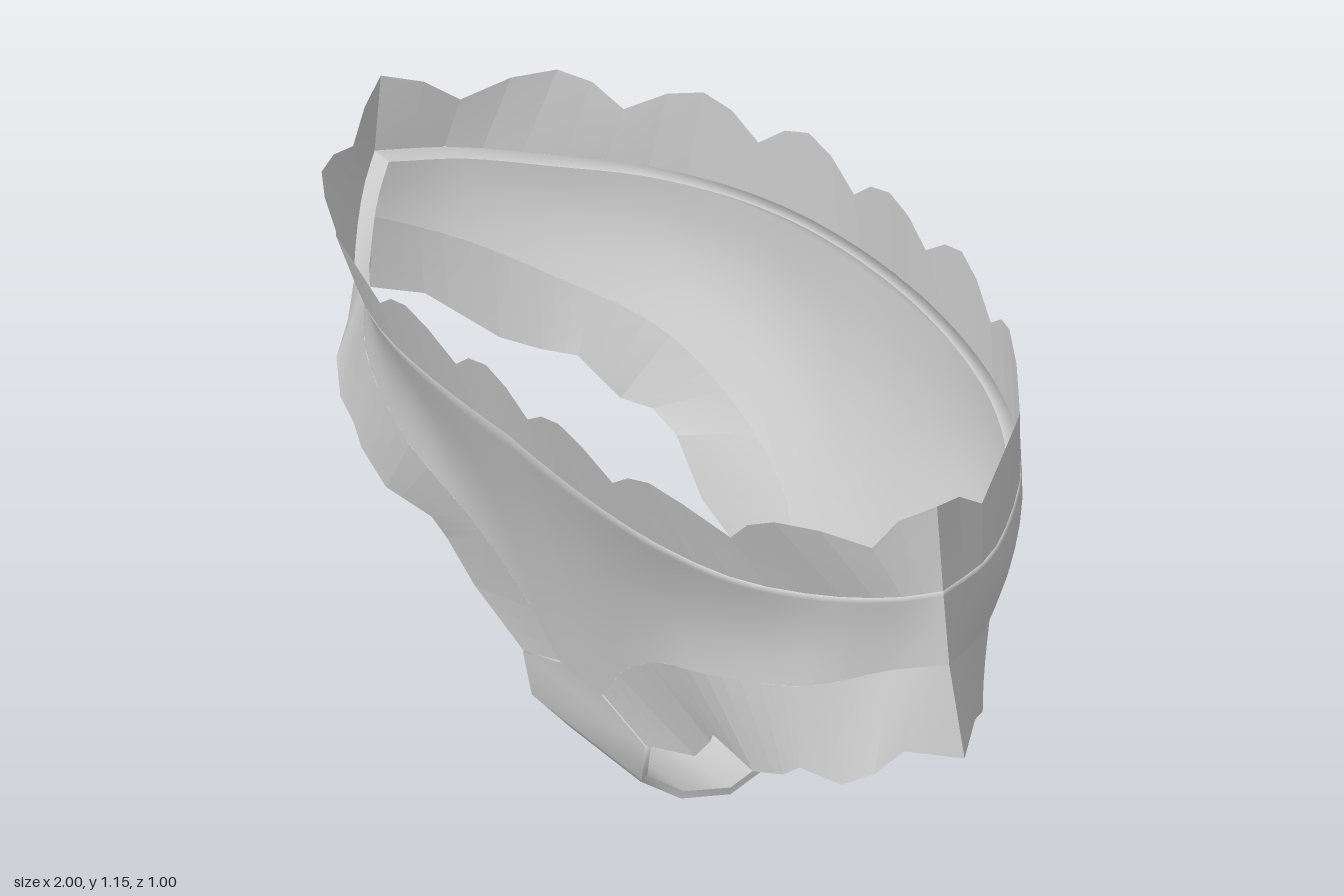
import * as THREE from 'three';

const V = (p) => new THREE.Vector3(p[0], p[1], p[2]);
const curve = (pts) => new THREE.CatmullRomCurve3(pts.map(V));
const flipX = (p) => new THREE.Vector3(-p.x, p.y, p.z);

// Surface through rows of points; rows run top to bottom, columns left to right seen from outside.
// A pleated surface keeps a crease along every column.
function grid(name, rows, flip, pleated) {
  const cols = pleated ? rows.map((r) => r.flatMap((p) => [p, p]).slice(1, -1)) : rows;
  const w = cols[0].length, pos = [], idx = [];
  cols.forEach((r) => r.forEach((p) => pos.push(p.x, p.y, p.z)));
  for (let i = 0; i < cols.length - 1; i++) {
    for (let j = 0; j < w - 1; j += pleated ? 2 : 1) {
      const a = i * w + j, b = a + 1, c = a + w, d = c + 1;
      if (flip) idx.push(a, b, c, b, d, c);
      else idx.push(a, c, b, b, c, d);
    }
  }
  const g = new THREE.BufferGeometry();
  g.setAttribute('position', new THREE.Float32BufferAttribute(pos, 3));
  g.setIndex(idx);
  g.computeVertexNormals();
  const mesh = new THREE.Mesh(g, new THREE.MeshStandardMaterial({ color: 0xcccccc, side: THREE.DoubleSide }));
  mesh.name = name;
  return mesh;
}

// Full row from -x to +x out of a function giving the +x half
function fullRow(n, f) {
  const half = Array.from({ length: n + 1 }, (_, i) => f(i / n));
  return [...half.slice(1).reverse().map(flipX), ...half];
}

// Rows blending from an upper to a lower edge
const blend = (upper, lower, n) => Array.from({ length: n + 1 }, (_, i) =>
  upper.map((p, j) => p.clone().lerp(lower[j], i / n)));

// Half curves from the centre line (x = 0) to the side seam
const front = {
  waist: curve([[0, .965, .44], [.12, .96, .44], [.28, .955, .435], [.45, .945, .41],
    [.62, .93, .345], [.76, .925, .24], [.87, .94, .14], [.93, .96, .07]]),
  leg: curve([[0, .30, .26], [.07, .31, .26], [.15, .41, .275], [.3, .53, .3],
    [.5, .62, .315], [.72, .69, .25], [.85, .755, .14], [.95, .795, .07]]),
  top: curve([[0, 1.15, .49], [.25, 1.155, .5], [.5, 1.14, .465], [.74, 1.13, .34], [.91, 1.15, .07]]),
  // lower frill edge: x, y, z and matching position along the leg seam
  frill: [[.2, .255, .25, .143], [.36, .32, .25, .27], [.43, .4, .265, .4], [.46, .44, .28, .44],
    [.6, .435, .287, .56], [.69, .475, .28, .65], [.73, .51, .27, .7], [.82, .505, .235, .78],
    [.88, .55, .2, .86], [.91, .6, .15, .92], [1, .6, .07, 1]],
  bulge: -.02,
};
const back = {
  waist: curve([[0, .955, -.5], [.12, .955, -.495], [.28, .95, -.475], [.45, .935, -.435],
    [.62, .925, -.35], [.76, .925, -.22], [.87, .94, -.08], [.93, .96, .07]]),
  leg: curve([[0, .30, -.32], [.08, .31, -.32], [.15, .4, -.35], [.3, .5, -.36],
    [.52, .6, -.325], [.72, .67, -.2], [.85, .74, -.07], [.95, .795, .07]]),
  top: curve([[0, 1.15, -.49], [.25, 1.155, -.48], [.5, 1.14, -.41], [.75, 1.125, -.24], [.91, 1.15, .07]]),
  frill: [[.2, .25, -.29, .143], [.33, .32, -.28, .27], [.42, .42, -.285, .4], [.5, .44, -.285, .47],
    [.57, .435, -.26, .56], [.65, .51, -.215, .66], [.72, .5, -.18, .73], [.79, .51, -.13, .8],
    [.9, .595, -.03, .92], [1, .6, .07, 1]],
  bulge: -.055,
};

// Main cloth panel between waist seam and leg seam, with a hem turned in at the waist
function panel(name, side, flip) {
  const hem = new THREE.Vector3(.955, .995, .955);
  const rows = [fullRow(28, (t) => side.waist.getPoint(t).multiply(hem))];
  for (let i = 0; i <= 14; i++) {
    const s = i / 14;
    rows.push(fullRow(28, (t) => {
      const p = side.waist.getPoint(t).lerp(side.leg.getPoint(t), s);
      p.z += side.bulge * Math.sin(Math.PI * s) * (1 - t * t);
      return p;
    }));
  }
  return grid(name, rows, flip, false);
}

// Scalloped frill flaring up from the waist seam
function waistFrill(name, side, flip) {
  const seam = fullRow(16, (t) => side.waist.getPoint(t));
  const edge = fullRow(16, (t) => side.top.getPoint(t)
    .lerp(side.waist.getPoint(t), .38 * (1 - Math.abs(Math.cos(4 * Math.PI * t)))));
  return grid(name, blend(edge, seam, 4), flip, true);
}

// Frill hanging from the leg seam, front to back around one leg
function legFrill(name, mirror) {
  const upper = [], lower = [], steps = 3;
  const add = (side, p, q, k) => {
    const m = p.map((v, i) => v + (q[i] - v) * k / steps);
    upper.push(side.leg.getPoint(m[3]));
    lower.push(V(m));
  };
  [[front, front.frill], [back, [...back.frill].reverse()]].forEach(([side, pts]) => {
    for (let i = 0; i < pts.length - 1; i++) {
      for (let k = 0; k < steps; k++) add(side, pts[i], pts[i + 1], k);
    }
  });
  add(back, back.frill[0], back.frill[0], 0);
  const rows = blend(upper, lower, 4).map((r) => (mirror ? r.map(flipX) : r));
  return grid(name, rows, mirror, true);
}

// Gusset strip with a little thickness: half width, y, z
function gusset() {
  const path = [[.07, .305, .26], [.2, .253, .252], [.18, .16, .245], [.115, .1, .2], [.14, .04, .12],
    [.14, 0, 0], [.14, .04, -.13], [.115, .1, -.21], [.18, .16, -.265], [.2, .25, -.29], [.07, .305, -.32]];
  const rows = path.map(([w, y, z]) => {
    const inward = new THREE.Vector3(0, .32 - y, -z).setLength(.016);
    const l = new THREE.Vector3(-w, y, z), r = new THREE.Vector3(w, y, z);
    return [l, r, r.clone().add(inward), l.clone().add(inward), l];
  });
  return grid('gusset', rows, false, true);
}

export function createModel() {
  const group = new THREE.Group();
  group.name = 'frilledBriefs';
  group.add(
    panel('frontPanel', front, false),
    panel('backPanel', back, true),
    waistFrill('frontWaistFrill', front, false),
    waistFrill('backWaistFrill', back, true),
    legFrill('leftLegFrill', false),
    legFrill('rightLegFrill', true),
    gusset(),
  );
  return group;
}
